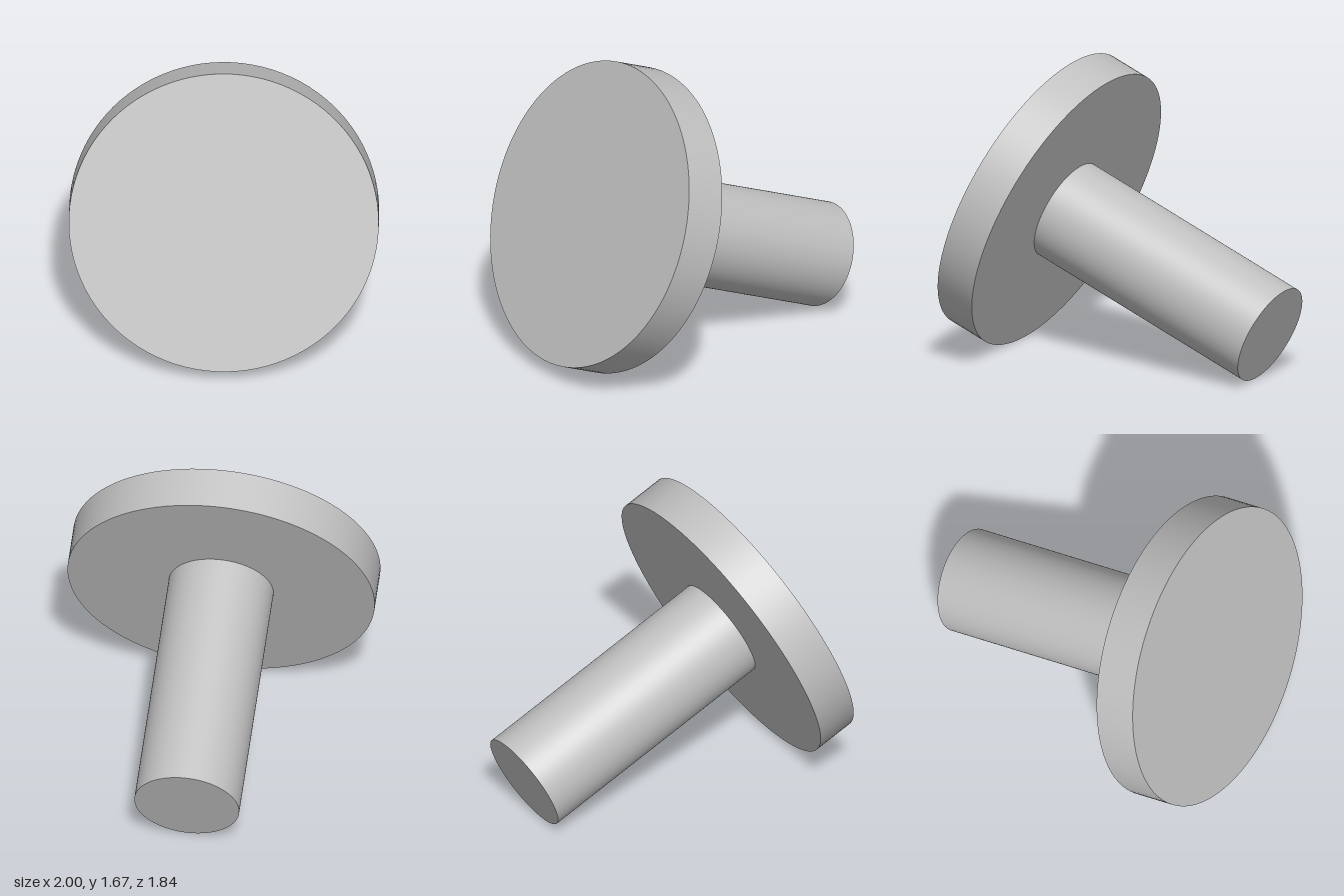
import * as THREE from 'three';

export function createModel() {
  const model = new THREE.Group();
  model.name = 'headedPin';
  const grey = new THREE.MeshStandardMaterial({ color: 0xc0c0c0 });
  grey.name = 'grey';

  // Shared axis, running from the outer face of the head to the tip of the shaft
  const start = new THREE.Vector3(-0.45, 0.885, 0.192);
  const axis = new THREE.Vector3(0.765, -0.368, -0.529).normalize();
  const headThickness = 0.237;
  const totalLength = 1.651;

  // Cylinder covering the stretch of the axis between two distances
  function addRod(name, radius, from, to) {
    const mesh = new THREE.Mesh(new THREE.CylinderGeometry(radius, radius, to - from, 96), grey);
    mesh.name = name;
    mesh.quaternion.setFromUnitVectors(new THREE.Vector3(0, 1, 0), axis);
    mesh.position.copy(start).addScaledVector(axis, (from + to) / 2);
    model.add(mesh);
  }

  addRod('head', 0.853, 0, headThickness);
  // The shaft is sunk slightly into the head
  addRod('shaft', 0.291, headThickness - 0.05, totalLength);

  return model;
}
